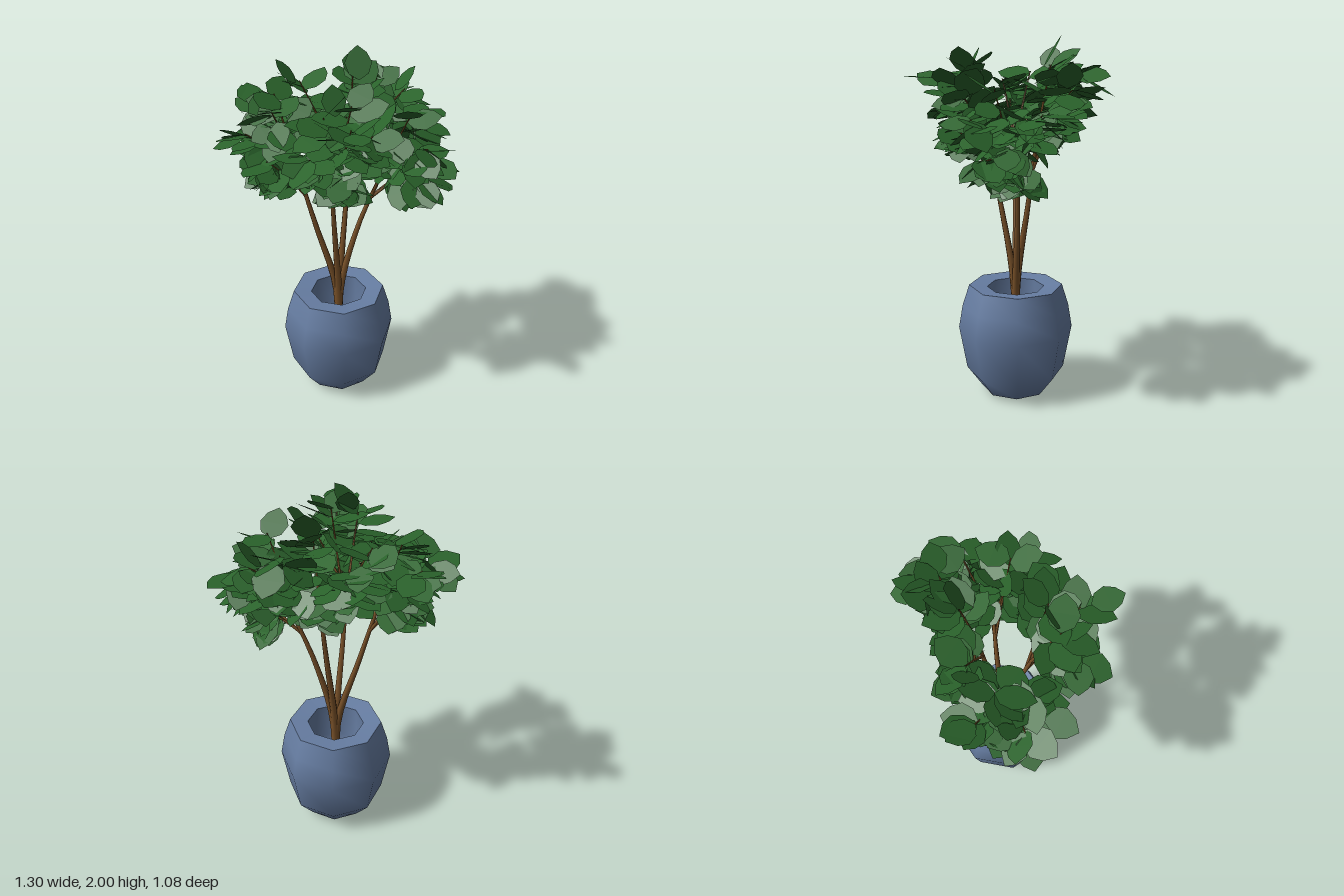
import * as THREE from 'three';
import { mergeGeometries } from 'three/addons/utils/BufferGeometryUtils.js';

const V = (x, y, z) => new THREE.Vector3(x, y, z);
const UP = V(0, 1, 0);
const LEAF_LENGTH = 0.19;

// Small seeded generator
let seed = 7;
const rand = (a = 0, b = 1) => {
  seed = (seed * 16807) % 2147483647;
  return a + (b - a) * (seed / 2147483647);
};

// Tube along a curve whose radius shrinks from r0 to r1
function taperedTube(curve, segments, r0, r1, sides) {
  const geo = new THREE.TubeGeometry(curve, segments, 1, sides);
  const pos = geo.attributes.position;
  const p = V(0, 0, 0);
  for (let i = 0; i < pos.count; i++) {
    const t = Math.floor(i / (sides + 1)) / segments;
    const c = curve.getPointAt(t);
    p.fromBufferAttribute(pos, i).sub(c).multiplyScalar(r0 + (r1 - r0) * t).add(c);
    pos.setXYZ(i, p.x, p.y, p.z);
  }
  return geo;
}

// Flat angular leaf growing along +y, upper face +z
const leafShape = new THREE.Shape([
  [0, 0], [0.055, 0.035], [0.076, 0.095], [0.05, 0.15],
  [0, LEAF_LENGTH], [-0.05, 0.15], [-0.076, 0.095], [-0.055, 0.035],
].map(([x, y]) => new THREE.Vector2(x, y)));
const leafGeometry = new THREE.ShapeGeometry(leafShape);

function placeLeaf(base, dir, roll, size) {
  const side = dir.clone().cross(UP).normalize().applyAxisAngle(dir, roll);
  const normal = side.clone().cross(dir);
  const m = new THREE.Matrix4().makeBasis(side, dir, normal);
  m.scale(V(size, size, size)).setPosition(base);
  return leafGeometry.clone().applyMatrix4(m);
}

// Outline of the crown, open in the middle
function insideCrown(p) {
  const low = (p.x > 0.22 ? 1.17 : 1.3) + 0.6 * p.z * p.z;
  return Math.abs(p.x) < 0.63 && Math.abs(p.z) < 0.52 &&
    p.y > low && p.y < 1.96 - 0.8 * p.x * p.x &&
    Math.hypot(p.x + 0.04, p.z + 0.03) > 0.18;
}

// Leaves spiral along a twig; low ones hang steeply, high ones rise
function twigLeaves(curve, count) {
  const leaves = [];
  for (let i = 0; i < count; i++) {
    const t = 0.36 + (0.64 * (i + 0.5)) / count;
    const base = curve.getPoint(t);
    const along = curve.getTangent(t);
    const outward = V(base.x, 0, base.z + 0.05).normalize();
    for (let attempt = 0; attempt < 8; attempt++) {
      const a = i * 2.4 + rand(-0.5, 0.5) + attempt * 0.8;
      const dir = V(Math.cos(a), 0, Math.sin(a)).multiplyScalar(0.75)
        .addScaledVector(along, 0.25).addScaledVector(outward, 0.45);
      dir.y += (base.y - 1.75) * 2 + rand(-0.55, 0.4);
      dir.normalize();
      const size = rand(0.85, 1.08);
      if (!insideCrown(base.clone().addScaledVector(dir, LEAF_LENGTH * size))) continue;
      leaves.push(placeLeaf(base, dir, rand(-0.65, 0.65), size));
      break;
    }
  }
  return leaves;
}

// Each stem: name, points above the pot, twig tips
const STEMS = [
  ['left', [[0.12, 1.05, -0.07], [0.24, 1.36, -0.06]],
    [[0.49, 1.63, -0.17], [0.51, 1.47, 0], [0.45, 1.4, 0.13], [0.36, 1.74, 0.06],
      [0.43, 1.6, 0.18], [0.38, 1.36, -0.07], [0.3, 1.55, 0.02]]],
  ['right', [[-0.12, 1.05, -0.07], [-0.22, 1.42, -0.07]],
    [[-0.48, 1.63, -0.05], [-0.38, 1.52, 0.06], [-0.42, 1.72, -0.27], [-0.36, 1.57, -0.2],
      [-0.34, 1.76, 0], [-0.4, 1.49, -0.08], [-0.32, 1.8, -0.16]]],
  ['front', [[-0.03, 1.1, 0.02], [-0.05, 1.4, 0.08]],
    [[-0.1, 1.8, 0.2], [0.02, 1.78, 0.32], [0.14, 1.7, 0.22], [0, 1.52, 0.27],
      [-0.18, 1.62, 0.28], [0.04, 1.84, 0.17]]],
  ['back', [[0.05, 1.1, -0.13], [0.08, 1.46, -0.17]],
    [[0.1, 1.85, -0.24], [0.25, 1.82, -0.34], [0.4, 1.74, -0.32], [-0.18, 1.83, -0.26],
      [0.32, 1.64, -0.24], [0.07, 1.62, -0.25], [-0.17, 1.64, -0.25]]],
];

// Outermost leaves: base and tip
const EDGE_LEAVES = [
  [[0.13, 1.84, -0.2], [0.13, 2.0, -0.29]],
  [[0.51, 1.47, 0.0], [0.65, 1.38, 0.01]],
  [[-0.48, 1.62, -0.05], [-0.65, 1.56, -0.04]],
  [[0.02, 1.78, 0.37], [0.04, 1.79, 0.54]],
  [[0.27, 1.8, -0.37], [0.31, 1.7, -0.54]],
  [[-0.2, 1.82, -0.25], [-0.3, 1.94, -0.29]],
  [[-0.04, 1.8, 0.2], [-0.05, 1.94, 0.13]],
  [[0.34, 1.74, -0.3], [0.45, 1.87, -0.31]],
];

export function createModel() {
  seed = 7;
  const potBlue = new THREE.MeshStandardMaterial({ color: 0x677ea3 });
  potBlue.name = 'potBlue';
  const barkBrown = new THREE.MeshStandardMaterial({ color: 0x7a5229 });
  barkBrown.name = 'barkBrown';
  const leafGreen = new THREE.MeshStandardMaterial({ color: 0x2a632b, side: THREE.DoubleSide });
  leafGreen.name = 'leafGreen';

  const group = new THREE.Group();
  group.name = 'pottedTree';
  const add = (parent, name, geo, mat) => {
    const mesh = new THREE.Mesh(geo, mat);
    mesh.name = name;
    parent.add(mesh);
  };

  // Eight-sided pot: rounded wall, flat rim and deep hollow
  const pot = new THREE.Group();
  pot.name = 'pot';
  pot.position.set(0.005, 0, -0.065);
  group.add(pot);
  const lathe = (name, pts) => add(pot, name,
    new THREE.LatheGeometry(pts.map(([r, y]) => new THREE.Vector2(r, y)), 8), potBlue);
  lathe('potWall', [[0, 0], [0.185, 0.015], [0.277, 0.135], [0.322, 0.38], [0.3, 0.51], [0.262, 0.63]]);
  lathe('potRim', [[0.262, 0.63], [0.16, 0.62]]);
  lathe('potHollow', [[0.16, 0.62], [0.17, 0.4], [0.14, 0.22], [0, 0.18]]);

  // Stems, twigs and leaves
  for (const [name, path, tips] of STEMS) {
    const [mid, top] = path.map((p) => V(...p));
    const axisPoint = (y, k) => V(0.005 + mid.x * k, y, -0.065 + (mid.z + 0.065) * k);
    const stem = new THREE.CatmullRomCurve3([axisPoint(0.19, 0.02), axisPoint(0.63, 0.1), mid, top]);
    const wood = [taperedTube(stem, 12, 0.028, 0.009, 7)];
    const leaves = [];
    tips.forEach((tip, i) => {
      const start = stem.getPoint(i % 2 ? 0.84 : 0.98);
      const end = V(...tip);
      const bend = start.clone().lerp(end, 0.5).add(V(0, 0.03, 0));
      const twig = new THREE.QuadraticBezierCurve3(start, bend, end);
      wood.push(taperedTube(twig, 6, 0.009, 0.003, 5));
      leaves.push(...twigLeaves(twig, 16));
    });
    add(group, name + 'Stem', mergeGeometries(wood), barkBrown);
    add(group, name + 'Leaves', mergeGeometries(leaves), leafGreen);
  }

  const edge = EDGE_LEAVES.map(([a, b]) => {
    const base = V(...a);
    const dir = V(...b).sub(base);
    return placeLeaf(base, dir.clone().normalize(), 0, dir.length() / LEAF_LENGTH);
  });
  add(group, 'outerLeaves', mergeGeometries(edge), leafGreen);

  return group;
}
